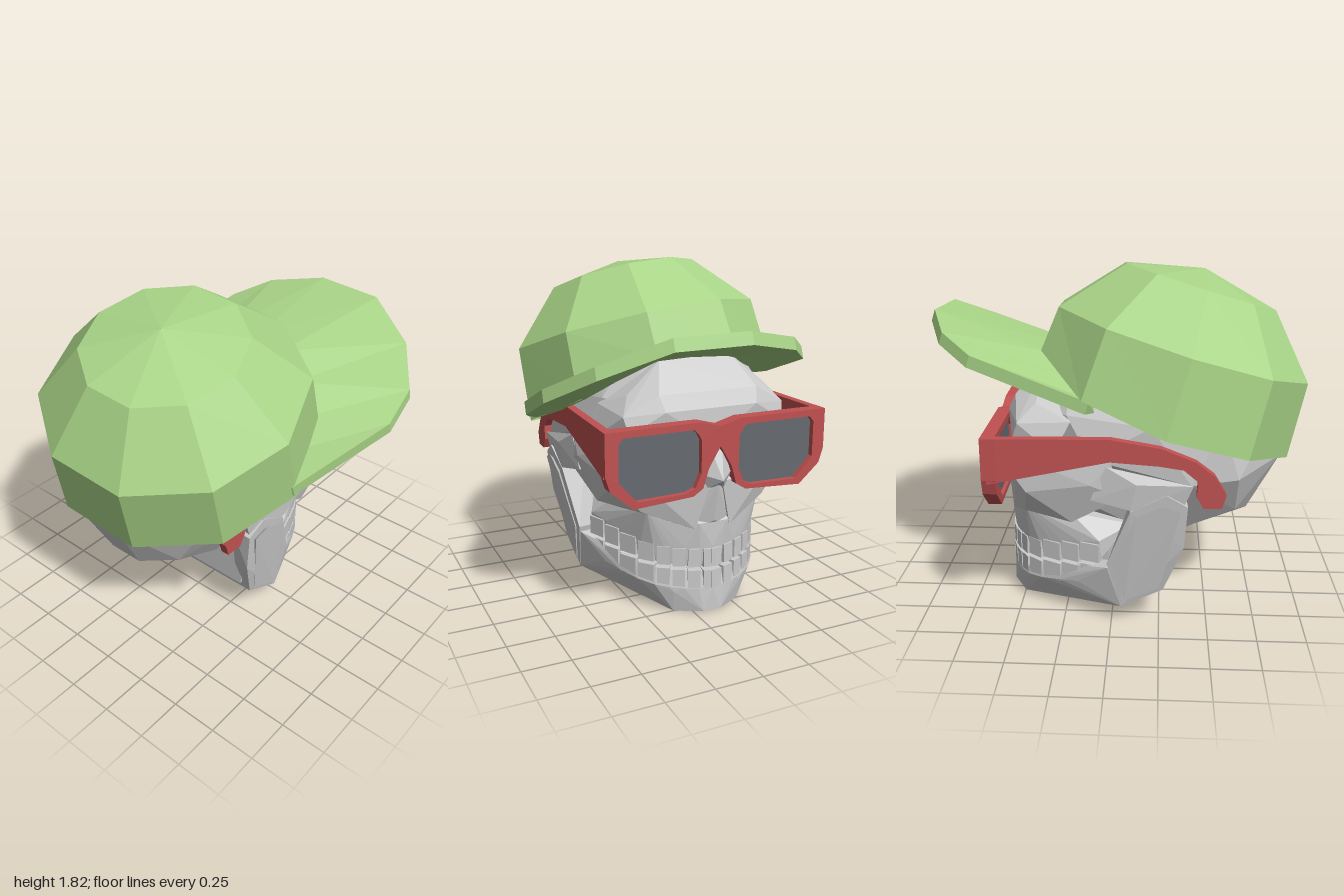
import * as THREE from 'three';
import { ConvexGeometry } from 'three/addons/geometries/ConvexGeometry.js';

const material = (color, side = THREE.FrontSide) =>
  new THREE.MeshStandardMaterial({ color, flatShading: true, side });
const bone = material(0xcccccc);
const red = material(0xc05151);
const lensGrey = material(0x666a70);
const green = material(0xa9d487, THREE.DoubleSide);

function addMesh(parent, name, geometry, mat) {
  const mesh = new THREE.Mesh(geometry, mat);
  mesh.name = name;
  parent.add(mesh);
  return mesh;
}

// Points are [x, y, half width]; "both" mirrors them into one faceted solid
const both = (pts) => pts.flatMap(([x, y, w]) => [new THREE.Vector3(x, y, w), new THREE.Vector3(x, y, -w)]);
const solid = (parent, name, pts) => addMesh(parent, name, new ConvexGeometry(both(pts)), bone);
function sidePair(parent, name, pts) {
  for (const s of [1, -1]) {
    const v = pts.map(([x, y, w]) => new THREE.Vector3(x, y, w * s));
    addMesh(parent, (s > 0 ? 'left' : 'right') + name, new ConvexGeometry(v), bone);
  }
}

// Skin a list of equally sized closed rings with flat facets
function loft(rings, capEnds = false) {
  const n = rings[0].length, index = [];
  for (let r = 0; r < rings.length - 1; r++)
    for (let k = 0; k < n; k++) {
      const a = r * n + k, b = r * n + (k + 1) % n, c = b + n, d = a + n;
      index.push(a, d, c, a, c, b);
    }
  if (capEnds) {
    const e = (rings.length - 1) * n;
    index.push(0, 1, 2, 0, 2, 3, e, e + 2, e + 1, e, e + 3, e + 2);
  }
  const g = new THREE.BufferGeometry();
  g.setAttribute('position', new THREE.Float32BufferAttribute(rings.flat(2), 3));
  g.setIndex(index);
  const flat = g.toNonIndexed();
  flat.computeVertexNormals();
  return flat;
}

// Tooth row as [x, half width], from the middle to the back
const row = [[0.58, 0], [0.57, 0.075], [0.545, 0.15], [0.51, 0.22], [0.465, 0.285],
  [0.385, 0.35], [0.28, 0.405], [0.18, 0.45], [0.07, 0.49]];
const biteY = (x) => 0.245 + (0.575 - x) * 0.18;
const rowAt = (dy, inset) => row.map(([x, w]) => [x - inset, biteY(x) + dy, Math.max(0, w - inset)]);

function buildSkull() {
  const skull = new THREE.Group();
  skull.name = 'skull';
  skull.position.z = -0.1;

  solid(skull, 'cranium', [
    [-0.88, 0.82, 0.14], [-0.72, 0.5, 0.1], [-0.64, 0.48, 0.12], [-0.64, 0.58, 0.32], [-0.36, 0.475, 0.34],
    [-0.64, 0.8, 0.46], [-0.4, 0.8, 0.55], [-0.86, 1.1, 0.17], [-0.55, 1.1, 0.5], [-0.2, 1.1, 0.56],
    [0.1, 0.93, 0.55], [0.22, 1.13, 0.47], [0.33, 1.33, 0.22], [0.2, 1.38, 0.3],
    [-0.3, 1.55, 0.3], [-0.7, 1.4, 0.2], [0.1, 0.55, 0.3], [0.45, 1.1, 0.3]]);
  solid(skull, 'faceCore', [
    [0.46, 1.05, 0.3], [0.44, 0.55, 0.2], [0.36, 0.75, 0.4], [0.34, 1.0, 0.45],
    [-0.1, 0.5, 0.36], [-0.1, 0.95, 0.5]]);
  solid(skull, 'brow', [
    [0.5, 1.18, 0.28], [0.54, 1.1, 0.26], [0.55, 0.98, 0.08], [0.5, 0.99, 0.44], [0.47, 1.08, 0.46],
    [0.38, 1.17, 0.4], [0.28, 0.95, 0.53], [0.2, 1.1, 0.49], [0.35, 1.33, 0.21], [0.3, 1.0, 0.4]]);
  sidePair(skull, 'Cheekbone', [
    [0.565, 0.47, 0.1], [0.57, 0.6, 0.1], [0.6, 0.72, 0.035], [0.5, 0.75, 0.38], [0.43, 0.73, 0.5],
    [0.46, 0.57, 0.36], [0.2, 0.57, 0.5], [0.3, 0.86, 0.52], [0.1, 0.8, 0.57], [0, 0.93, 0.56],
    [-0.06, 0.74, 0.57], [0, 0.7, 0.36], [0.4, 0.5, 0.1]]);
  sidePair(skull, 'CheekArch', [
    [-0.41, 0.81, 0.58], [-0.13, 0.82, 0.6], [0.02, 0.9, 0.57], [0.1, 0.72, 0.56], [-0.1, 0.68, 0.59],
    [-0.37, 0.71, 0.57], [-0.38, 0.76, 0.42], [0.05, 0.75, 0.42]]);

  // Nose bridge over a shallow wedge-backed opening
  solid(skull, 'noseBridge', [
    [0.67, 0.75, 0], [0.6, 0.7, 0.045], [0.57, 0.78, 0.11], [0.55, 0.98, 0.05], [0.48, 0.97, 0.1],
    [0.46, 0.7, 0.12]]);
  solid(skull, 'noseHollow', [
    [0.62, 0.72, 0], [0.585, 0.51, 0], [0.54, 0.47, 0.11], [0.53, 0.62, 0.11], [0.45, 0.72, 0.05]]);

  solid(skull, 'mouthCore', [...rowAt(-0.06, 0.05), ...rowAt(0.08, 0.05),
    [-0.3, 0.25, 0.46], [-0.3, 0.6, 0.5]]);
  solid(skull, 'upperJaw', [
    ...rowAt(0.02, 0.016), ...rowAt(0.12, 0.008),
    [0.572, 0.5, 0.08], [0.46, 0.58, 0.33], [0.22, 0.58, 0.4], [-0.1, 0.52, 0.4]]);
  solid(skull, 'lowerJaw', [
    ...rowAt(-0.02, 0.016), ...rowAt(-0.11, 0),
    [0.58, 0.005, 0.05], [0.5, 0, 0.19], [0.52, 0.12, 0.2],
    [-0.05, 0.1, 0.515], [-0.27, 0.2, 0.5], [0.02, 0.33, 0.53], [-0.3, 0.32, 0.52]]);
  sidePair(skull, 'JawBranch', [
    [-0.385, 0.7, 0.585], [-0.28, 0.765, 0.595], [-0.1, 0.67, 0.59], [0.02, 0.36, 0.54], [-0.05, 0.1, 0.515],
    [-0.27, 0.2, 0.505], [-0.37, 0.47, 0.56], [-0.38, 0.7, 0.46], [-0.1, 0.68, 0.46],
    [0, 0.36, 0.42], [-0.06, 0.12, 0.4], [-0.26, 0.22, 0.4]]);
  // Raised plate on the outside of the jaw branch
  sidePair(skull, 'JawPlate', [
    [-0.35, 0.68, 0.6], [-0.26, 0.715, 0.61], [-0.13, 0.65, 0.605], [-0.01, 0.36, 0.555],
    [-0.07, 0.14, 0.528], [-0.25, 0.22, 0.523], [-0.3, 0.6, 0.5], [-0.1, 0.25, 0.45]]);

  // Close-set teeth along the row, parted by narrow slits
  for (const s of [1, -1])
    for (let i = 0; i < row.length - 1; i++) {
      const [x0, w0] = row[i], [x1, w1] = row[i + 1];
      const dx = x1 - x0, dw = (w1 - w0) * s, x = (x0 + x1) / 2, w = (w0 + w1) / 2 * s;
      for (const [name, dy] of [['upperTooth', 0.06], ['lowerTooth', -0.06]]) {
        const tooth = addMesh(skull, name,
          new THREE.BoxGeometry(Math.hypot(dx, dw) - 0.012, 0.1, 0.05), bone);
        tooth.position.set(x - 0.02, biteY(x) + dy, w - 0.02 * s);
        tooth.rotation.y = Math.atan2(-dw, dx);
      }
    }
  return skull;
}

function buildGlasses() {
  const glasses = new THREE.Group();
  glasses.name = 'sunglasses';
  glasses.position.z = -0.105;
  const mirrored = (pts) => pts.map(([u, y]) => new THREE.Vector2(-u, y)).reverse();
  const vectors = (pts) => pts.map(([u, y]) => new THREE.Vector2(u, y));
  const extrude = (shape, depth) => new THREE.ExtrudeGeometry(shape, { depth, bevelEnabled: false });

  // Front frame with two lens holes
  const half = [[0, 0.92], [0.065, 0.81], [0.095, 0.71], [0.15, 0.675], [0.48, 0.655],
    [0.6, 0.76], [0.625, 0.84], [0.625, 1.055], [0.11, 1.055], [0, 1.025]];
  const lens = [[0.125, 0.995], [0.107, 0.96], [0.107, 0.79], [0.14, 0.715], [0.19, 0.695], [0.455, 0.69],
    [0.555, 0.8], [0.555, 0.99], [0.53, 1.02], [0.15, 1.02]];
  const frame = new THREE.Shape([...vectors(half), ...mirrored(half.slice(1, -1))]);
  const openings = [vectors(lens), mirrored(lens)];
  frame.holes = openings.map((p) => new THREE.Path(p));
  addMesh(glasses, 'frontFrame', extrude(frame, 0.07).rotateY(Math.PI / 2).translate(0.555, 0, 0), red);
  for (const p of openings)
    addMesh(glasses, 'lens', extrude(new THREE.Shape(p), 0.02).rotateY(Math.PI / 2).translate(0.575, 0, 0), lensGrey);

  // Side arms with hooked ends, closing in slightly toward the back
  const arm = new THREE.Shape(vectors([[0.6, 1.055], [0, 1.055], [-0.25, 1.01], [-0.42, 0.94], [-0.51, 0.87],
    [-0.57, 0.77], [-0.55, 0.7], [-0.46, 0.7], [-0.425, 0.76], [-0.43, 0.84], [-0.36, 0.9],
    [-0.24, 0.92], [0, 0.94], [0.25, 0.89], [0.6, 0.82]]));
  for (const s of [1, -1]) {
    const g = extrude(arm, 0.045).translate(0, 0, s > 0 ? 0.58 : -0.625);
    const p = g.attributes.position;
    for (let i = 0; i < p.count; i++) p.setZ(i, p.getZ(i) + s * 0.035 * (p.getX(i) - 0.6));
    g.computeVertexNormals();
    addMesh(glasses, s > 0 ? 'leftArm' : 'rightArm', g, red);
  }
  return glasses;
}

function buildCap() {
  const cap = new THREE.Group();
  cap.name = 'cap';

  // Ten-sided crown, tilted back; the rim lifts over the forehead
  const ring = (radius, height) => Array.from({ length: 10 }, (_, k) => {
    const a = (k * 36 + 17) * Math.PI / 180;
    return [radius * Math.cos(a), height(Math.cos(a)), radius * Math.sin(a)];
  });
  const rim = (c) => (c > 0.9 ? -0.24 : c > 0.5 ? -0.36 : -0.4);
  const up = new THREE.Vector3(-0.29, 0.95, 0.11).normalize();
  const front = new THREE.Vector3(0.95, 0.29, 0).normalize();
  const tilt = new THREE.Matrix4().makeBasis(front, up, front.clone().cross(up)).setPosition(-0.35, 1.395, -0.05);
  const crown = loft([ring(0.73, rim), ring(0.705, () => 0), ring(0.425, () => 0.305), ring(0.001, () => 0.4)]);
  addMesh(cap, 'crown', crown.applyMatrix4(tilt), green);

  // Curved brim, turned a little to the left, tucked into the crown
  const inner = [[-0.25, 1.0, 0.57], [-0.05, 1.08, 0.5], [0.13, 1.17, 0.43], [0.24, 1.28, 0.28], [0.34, 1.38, 0.13],
    [0.345, 1.39, -0.07], [0.34, 1.38, -0.28], [0.21, 1.3, -0.44], [0.08, 1.22, -0.62]];
  const outer = [[-0.23, 1.02, 0.635], [0.36, 1.18, 0.82], [0.58, 1.28, 0.8], [0.81, 1.41, 0.63], [0.97, 1.54, 0.33],
    [0.99, 1.55, -0.05], [0.88, 1.49, -0.35], [0.71, 1.41, -0.51], [0.11, 1.23, -0.68]];
  const sections = outer.map(([x, y, z], i) => {
    const [a, b, c] = inner[i];
    return [[x - 0.01, y, z], [a, b, c], [a, b - 0.06, c], [x + 0.01, y - 0.06, z]];
  });
  addMesh(cap, 'brim', loft(sections, true), green);
  return cap;
}

export function createModel() {
  const model = new THREE.Group();
  model.name = 'skullWithCapAndSunglasses';
  model.add(buildSkull(), buildGlasses(), buildCap());
  return model;
}
